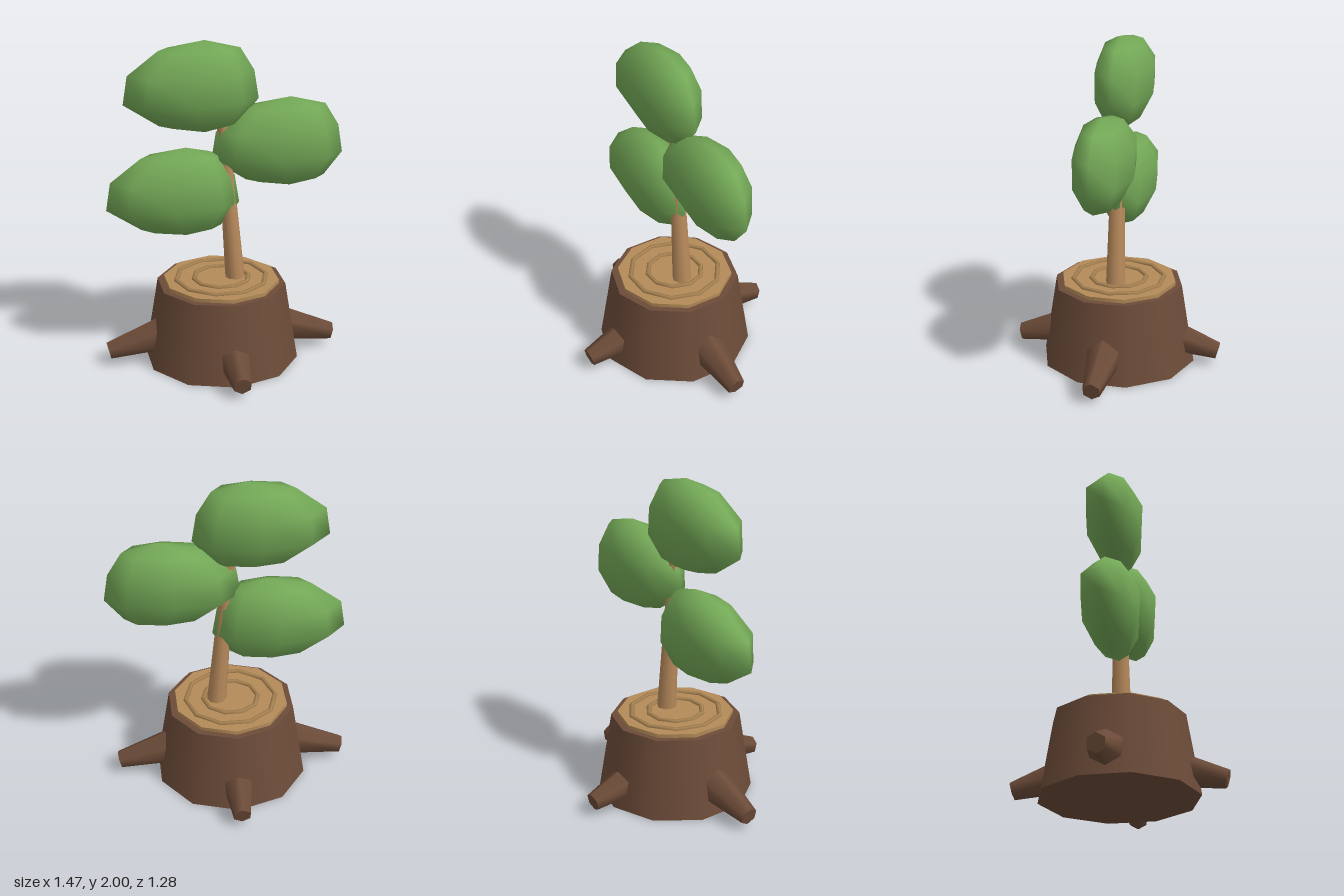
import * as THREE from 'three';
import { mergeVertices } from 'three/addons/utils/BufferGeometryUtils.js';

const makeMat = (name, color) => {
  const m = new THREE.MeshStandardMaterial({ color });
  m.name = name;
  return m;
};

// Flattened low-poly ellipsoid whose top and bottom lean toward +x
function leafGeometry() {
  let geo = new THREE.SphereGeometry(1, 8, 5);
  const p = geo.attributes.position;
  for (let i = 0; i < p.count; i++) {
    const x = p.getX(i), y = p.getY(i), z = p.getZ(i);
    const width = Math.abs(y) > 0.5 ? 0.412 : 0.409 - 0.047 * y;
    p.setXYZ(i, x * width + 0.0875 * y * y, y * 0.276, z * (0.181 + 0.015 * y));
  }
  geo.deleteAttribute('normal');
  geo.deleteAttribute('uv');
  geo = mergeVertices(geo);
  geo.computeVertexNormals();
  return geo;
}

export function createModel() {
  const model = new THREE.Group();
  model.name = 'sproutingStump';
  const bark = makeMat('bark brown', 0x6d4c39);
  const wood = makeMat('cut wood tan', 0xb38b58);
  const ring = makeMat('growth ring tan', 0xa58050);
  const stemMat = makeMat('stem tan', 0xb98b5c);
  const green = makeMat('leaf green', 0x74a957);

  const add = (parent, name, geo, mat, x = 0, y = 0, z = 0) => {
    const mesh = new THREE.Mesh(geo, mat);
    mesh.name = name;
    mesh.position.set(x, y, z);
    parent.add(mesh);
    return mesh;
  };

  // Stump with its cut face and growth rings
  const stump = new THREE.Group();
  stump.name = 'stump';
  stump.position.x = -0.0125;
  model.add(stump);
  add(stump, 'trunk', new THREE.CylinderGeometry(0.395, 0.475, 0.492, 10), bark, 0, 0.246, 0);
  add(stump, 'cutFace', new THREE.CylinderGeometry(0.355, 0.355, 0.03, 10), wood, 0, 0.5, 0);
  for (const r of [0.28, 0.17]) {
    const torus = add(stump, 'growthRing', new THREE.TorusGeometry(r, 0.015, 6, 10), ring, 0, 0.515, 0);
    torus.rotation.x = -Math.PI / 2;
  }

  // Four tapered roots, longer at the sides
  const tilt = 0.25, length = 0.42;
  const rootGeo = new THREE.CylinderGeometry(0.057, 0.126, length, 6);
  for (let i = 0; i < 4; i++) {
    const reach = i % 2 ? 0.7045 : 0.625;
    const holder = new THREE.Group();
    holder.name = 'rootHolder';
    holder.rotation.y = i * Math.PI / 2;
    stump.add(holder);
    const root = add(holder, 'root', rootGeo, bark, 0,
      0.084 + Math.sin(tilt) * length / 2, reach - Math.cos(tilt) * length / 2);
    root.rotation.x = Math.PI / 2 + tilt;
  }

  // Leaning stem
  const stem = add(model, 'stem', new THREE.CylinderGeometry(0.035, 0.06, 1.0, 8), stemMat, 0.035, 1.0, 0);
  stem.rotation.z = 0.08;

  // Three leaves
  const leafGeo = leafGeometry();
  const leaves = [['topLeaf', -0.1975, 1.725], ['leftLeaf', 0.323, 1.3625], ['rightLeaf', -0.3125, 1.085]];
  for (const [name, x, y] of leaves) add(model, name, leafGeo, green, x, y, 0);

  return model;
}
